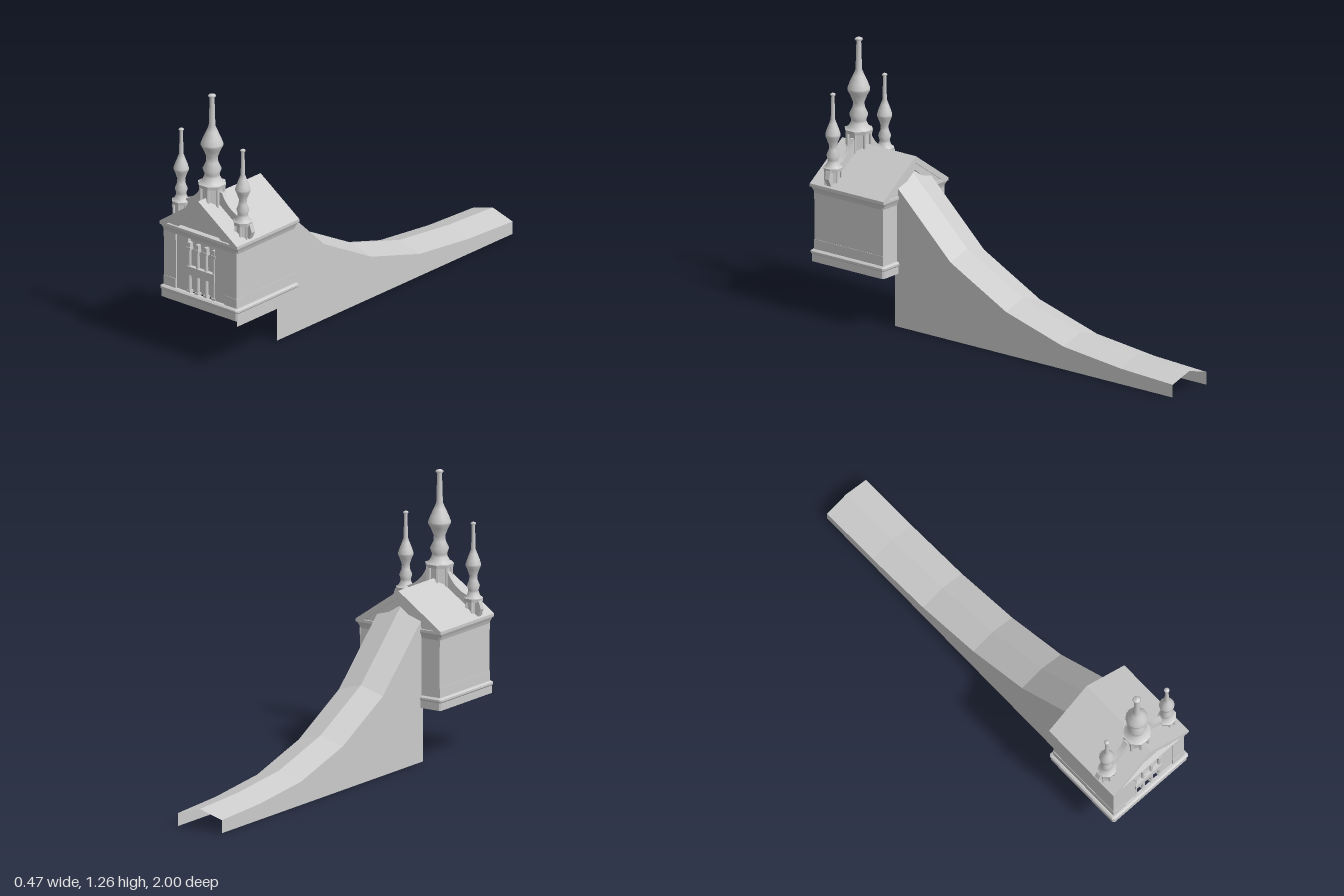
import * as THREE from 'three';

const grey = new THREE.MeshStandardMaterial({ color: 0xcccccc, flatShading: true, side: THREE.DoubleSide });
const smooth = new THREE.MeshStandardMaterial({ color: 0xcccccc, side: THREE.DoubleSide });

function add(parent, name, geometry, x = 0, y = 0, z = 0, material = grey) {
  const mesh = new THREE.Mesh(geometry, material);
  mesh.name = name;
  mesh.position.set(x, y, z);
  parent.add(mesh);
  return mesh;
}

// Box given by its limits on each axis
function block(parent, name, x0, x1, y0, y1, z0, z1) {
  return add(parent, name, new THREE.BoxGeometry(x1 - x0, y1 - y0, z1 - z0),
    (x0 + x1) / 2, (y0 + y1) / 2, (z0 + z1) / 2);
}

// Surface through a list of cross-sections of equal length
function loft(sections, closed) {
  const pos = [], n = sections[0].length;
  for (let i = 0; i < sections.length - 1; i++) {
    for (let j = 0; j < (closed ? n : n - 1); j++) {
      const k = (j + 1) % n;
      const a = sections[i][j], b = sections[i][k], c = sections[i + 1][k], d = sections[i + 1][j];
      pos.push(...a, ...b, ...c, ...a, ...c, ...d);
    }
  }
  const g = new THREE.BufferGeometry();
  g.setAttribute('position', new THREE.Float32BufferAttribute(pos, 3));
  g.computeVertexNormals();
  return g;
}

// Rectangular moulding with clipped corners; profile entries are [half width, y]
const ZC = 0.7875;
function moulding(profile, c = 0.008) {
  return loft(profile.map(([w, y]) => {
    const d = w - 0.0175;
    return [[-w + c, d], [w - c, d], [w, d - c], [w, -d + c], [w - c, -d], [-w + c, -d], [-w, -d + c], [-w, d - c]]
      .map(([x, z]) => [x, y, ZC + z]);
  }), true);
}

function polygon(points) {
  return new THREE.Shape(points.map(([x, y]) => new THREE.Vector2(x, y)));
}

function extrude(shape, depth) {
  return new THREE.ExtrudeGeometry(shape, { depth, bevelEnabled: false });
}

// Gable frame with an open triangle
function gableFrame(w, eave, apex, innerW, innerApex, depth) {
  const s = polygon([[-w, 0.6], [w, 0.6], [w, eave], [0, apex], [-w, eave]]);
  s.holes.push(polygon([[-innerW, 0.602], [0, innerApex], [innerW, 0.602]]));
  return extrude(s, depth);
}

// Turret: drum with colonnettes, ring and turned spire; origin at the ring
function turret(name, scaleR, scaleY, drumHeight) {
  const g = new THREE.Group();
  g.name = name;
  const drum = add(g, 'turretDrum', new THREE.CylinderGeometry(0.05 * scaleR, 0.05 * scaleR, drumHeight, 8), 0, -drumHeight / 2);
  drum.rotation.y = Math.PI / 8;
  for (let i = 0; i < 8; i++) {
    const a = (i + 0.5) * Math.PI / 4, r = 0.055 * scaleR;
    add(g, 'turretColonnette', new THREE.CylinderGeometry(0.007 * scaleR, 0.007 * scaleR, drumHeight, 6),
      Math.sin(a) * r, -drumHeight / 2, Math.cos(a) * r);
  }
  add(g, 'turretRing', new THREE.CylinderGeometry(0.066 * scaleR, 0.063 * scaleR, 0.016, 8), 0, -0.008).rotation.y = Math.PI / 8;
  const profile = [[0.062, 0], [0.048, 0.008], [0.036, 0.03], [0.034, 0.042], [0.043, 0.068], [0.028, 0.1], [0.026, 0.125],
    [0.04, 0.16], [0.051, 0.18], [0.051, 0.19], [0.042, 0.215], [0.026, 0.25], [0.015, 0.275],
    [0.011, 0.41], [0.019, 0.418], [0.015, 0.424], [0, 0.43]]
    .map(([r, y]) => new THREE.Vector2(r * scaleR, y * scaleY));
  add(g, 'spire', new THREE.LatheGeometry(profile, 14), 0, 0, 0, smooth);
  return g;
}

export function createModel() {
  const model = new THREE.Group();
  model.name = 'chapelWithRamp';

  // House shell, open underneath
  const house = new THREE.Group();
  house.name = 'house';
  model.add(house);
  add(house, 'base', moulding([[0.205, 0.25], [0.226, 0.25], [0.226, 0.285], [0.23, 0.29], [0.23, 0.299], [0.222, 0.306], [0.205, 0.306]]));
  add(house, 'cornice', moulding([[0.205, 0.57], [0.217, 0.57], [0.222, 0.585], [0.229, 0.6], [0.229, 0.612], [0.205, 0.615]]));
  for (const s of [-1, 1]) {
    const side = (name, a, b, ...rest) => block(house, name, Math.min(a * s, b * s), Math.max(a * s, b * s), ...rest);
    side('sideWall', 0.2, 0.214, 0.3, 0.575, 0.59, 0.984);
    side('cornerPanel', 0.145, 0.214, 0.3, 0.575, 0.955, 0.984);
    side('frontPanel', 0.08, 0.145, 0.3, 0.575, 0.95, 0.978);
    for (const [y0, y1] of [[0.3, 0.352], [0.54, 0.575]]) {
      side('sideBand', 0.21, 0.216, y0, y1, 0.588, 0.986);
      side('cornerBand', 0.145, 0.216, y0, y1, 0.975, 0.986);
    }
  }
  block(house, 'backWall', -0.205, 0.205, 0.3, 0.61, 0.589, 0.597);
  block(house, 'recessWall', -0.09, 0.09, 0.3, 0.575, 0.945, 0.955);

  // Colonnade with its rail
  for (const x of [-0.073, -0.025, 0.025, 0.073]) {
    add(house, 'column', new THREE.CylinderGeometry(0.008, 0.009, 0.21, 10), x, 0.41, 0.972, smooth);
    block(house, 'columnFoot', x - 0.011, x + 0.011, 0.3, 0.315, 0.961, 0.983);
    block(house, 'columnCapital', x - 0.011, x + 0.011, 0.51, 0.522, 0.961, 0.983);
    block(house, 'columnNeck', x - 0.008, x + 0.008, 0.522, 0.545, 0.961, 0.98);
  }
  block(house, 'rail', -0.08, 0.08, 0.392, 0.432, 0.965, 0.985);

  // Gabled roof with framed pediments at both ends
  const roof = polygon([[-0.229, 0.6], [-0.229, 0.614], [0, 0.772], [0.229, 0.614], [0.229, 0.6], [0.205, 0.6], [0, 0.74], [-0.205, 0.6]]);
  add(house, 'roof', extrude(roof, 0.424), 0, 0, 0.576);
  for (const z of [0.976, 0.582]) {
    add(house, 'pedimentFrame', gableFrame(0.213, 0.604, 0.75, 0.142, 0.706, 0.014), 0, 0, z);
  }
  add(house, 'tympanum', extrude(polygon([[-0.2, 0.6], [0.2, 0.6], [0, 0.745]]), 0.008), 0, 0, 0.962);
  add(house, 'backTympanum', extrude(polygon([[-0.2, 0.6], [0.2, 0.6], [0, 0.745]]), 0.006), 0, 0, 0.598);

  // Curved crest wall joining the turrets
  const crest = polygon([[-0.212, 0.6], [0.212, 0.6], [0.236, 0.655], [0.225, 0.69], [0.15, 0.715]]);
  crest.quadraticCurveTo(0.09, 0.74, 0.06, 0.8);
  crest.lineTo(-0.06, 0.8);
  crest.quadraticCurveTo(-0.09, 0.74, -0.15, 0.715);
  crest.lineTo(-0.225, 0.69);
  crest.lineTo(-0.236, 0.655);
  add(model, 'crestWall', extrude(crest, 0.024), 0, 0, 0.884);

  // Three turrets
  const main = turret('mainTurret', 1, 1, 0.13);
  main.position.set(0, 0.835, 0.905);
  model.add(main);
  for (const s of [-1, 1]) {
    const t = turret('sideTurret', 0.68, 0.81, 0.08);
    t.position.set(0.182 * s, 0.7, 0.905);
    model.add(t);
  }

  // Long ridged ramp with side walls, open below and at the ends
  const path = [[0.6, 0.7], [0.28, 0.4], [-0.04, 0.235], [-0.37, 0.142], [-0.7, 0.108], [-1, 0.095]];
  const W = 0.118, DROP = 0.035;
  const ramp = new THREE.Group();
  ramp.name = 'ramp';
  model.add(ramp);
  add(ramp, 'rampTop', loft(path.map(([z, y]) => [[-W, y - DROP, z], [0, y, z], [W, y - DROP, z]]), false));
  for (const x of [-W, W]) {
    const wall = path.map(([z, y]) => x < 0 ? [[x, 0, z], [x, y - DROP, z]] : [[x, y - DROP, z], [x, 0, z]]);
    add(ramp, 'rampSide', loft(wall, false));
  }
  return model;
}
